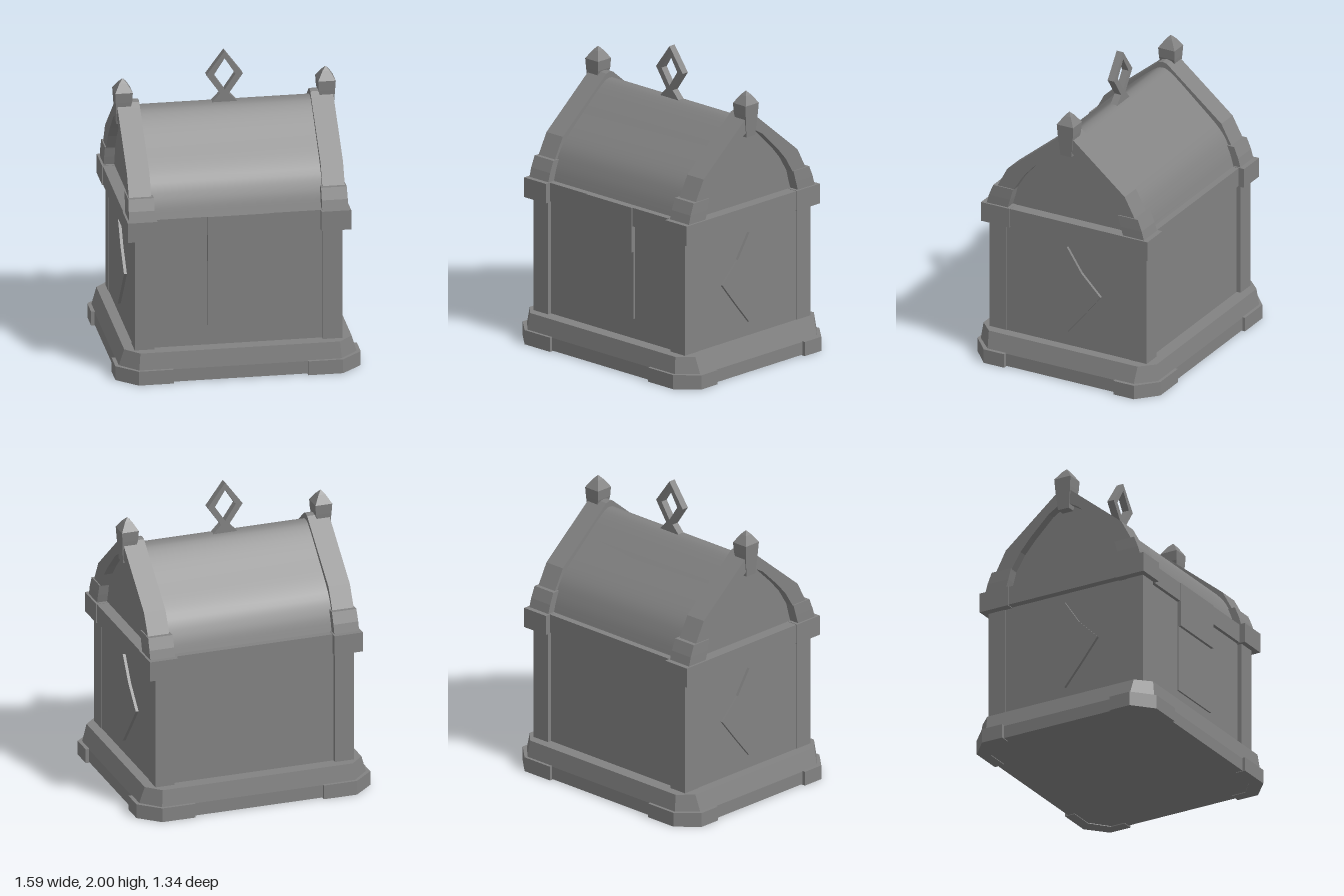
import * as THREE from 'three';
import { mergeVertices, toCreasedNormals } from 'three/addons/utils/BufferGeometryUtils.js';

const flat = new THREE.MeshStandardMaterial({ color: 0x828282, flatShading: true });
const smooth = new THREE.MeshStandardMaterial({ color: 0x828282 });
const toShape = (pts) => new THREE.Shape(pts.map(([a, b]) => new THREE.Vector2(a, b)));
const mirrored = (half) => [...half, ...half.filter(([a]) => a !== 0).map(([a, b]) => [-a, b]).reverse()];

// Extrude a shape by a depth centred on zero
const extrude = (shape, depth) =>
  new THREE.ExtrudeGeometry(shape, { depth, bevelEnabled: false }).translate(0, 0, -depth / 2);
// Same, with the shape drawn in (z, y) and the depth along x
const extrudeX = (shape, depth) => extrude(shape, depth).rotateY(Math.PI / 2);

// Stack of [y, loop of x/z corners] cross-sections, closed by caps
function loft(sections) {
  const n = sections[0][1].length, pos = [], idx = [];
  sections.forEach(([y, loop]) => loop.forEach(([x, z]) => pos.push(x, y, z)));
  for (let s = 0; s < sections.length - 1; s++)
    for (let i = 0; i < n; i++) {
      const a = s * n + i, b = s * n + (i + 1) % n;
      idx.push(a, a + n, b, b, a + n, b + n);
    }
  const top = (sections.length - 1) * n;
  for (let i = 1; i < n - 1; i++) idx.push(0, i, i + 1, top, top + i + 1, top + i);
  const g = new THREE.BufferGeometry();
  g.setAttribute('position', new THREE.Float32BufferAttribute(pos, 3));
  g.setIndex(idx);
  const out = g.toNonIndexed();
  out.computeVertexNormals();
  return out;
}

// Loops run so that side faces point outwards
const octagon = (x, z, c) => [
  [x - c, -z], [x, -z + c], [x, z - c], [x - c, z],
  [-x + c, z], [-x, z - c], [-x, -z + c], [-x + c, -z],
];
const rect = (x0, x1, z0, z1) => [[x0, z0], [x1, z0], [x1, z1], [x0, z1]];

export function createModel() {
  const model = new THREE.Group();
  const add = (name, geo, mat = flat) => {
    const m = new THREE.Mesh(geo, mat);
    m.name = name;
    model.add(m);
  };
  const box = (name, x0, x1, y0, y1, z0, z1) =>
    add(name, new THREE.BoxGeometry(Math.abs(x1 - x0), y1 - y0, Math.abs(z1 - z0))
      .translate((x0 + x1) / 2, (y0 + y1) / 2, (z0 + z1) / 2));

  // Stepped plinth with cut corners
  add('plinth', loft([
    [0.005, octagon(0.77, 0.65, 0.115)],
    [0.09, octagon(0.77, 0.65, 0.115)],
    [0.205, octagon(0.735, 0.635, 0.09)],
  ]));

  // Chest body, lid rim and front lock plates
  box('body', -0.668, 0.668, 0.2, 1.0, -0.547, 0.547);
  box('rim', -0.717, 0.717, 0.965, 1.09, -0.57, 0.57);
  box('lockPlate', -0.2, 0.2, 0.34, 0.79, 0.53, 0.558);
  box('lockHasp', -0.2, 0.2, 0.79, 1.09, 0.53, 0.576);

  // Curved lid
  const slope = [[0.49, 1.2], [0.42, 1.32], [0.25, 1.475], [0.08, 1.62]];
  const curve = new THREE.SplineCurve([
    [0.525, 1.09], ...slope, [0, 1.657], ...slope.map(([z, y]) => [-z, y]).reverse(), [-0.525, 1.09],
  ].map(([z, y]) => new THREE.Vector2(z, y)));
  const lid = extrudeX(new THREE.Shape(curve.getPoints(40)), 1.28);
  lid.deleteAttribute('uv');
  lid.deleteAttribute('normal');
  add('lid', toCreasedNormals(mergeVertices(lid).toNonIndexed(), 0.6), smooth);

  const archOuter = [[0.53, 1.08], [0.505, 1.22], [0.43, 1.36], [0.06, 1.665], [0.03, 1.69], [0, 1.697]];
  const archInner = [[0.43, 1.08], [0.386, 1.22], [0.32, 1.325], [0.245, 1.41], [0.11, 1.54], [0, 1.605]];
  const outline = [...mirrored(archOuter), ...mirrored(archInner).reverse()];
  const diamond = mirrored([[0, 0.3], [0.125, 0.45], [0.245, 0.6], [0.105, 0.74], [0, 0.9]]);

  for (const sx of [1, -1]) {
    const side = sx > 0 ? 'left' : 'right';

    // Pointed arch trim at the lid end and diamond plate below
    add(side + 'LidArch', extrudeX(toShape(outline), 0.145).translate(sx * 0.6255, 0, 0));
    add(side + 'DiamondPlate', extrudeX(toShape(diamond), 0.04).translate(sx * 0.667, 0, 0));

    // Pointed finial whose tail hooks over the arch
    const fin = (y, r, cx = 0.656, rz = r) =>
      [y, rect(sx * cx - r, sx * cx + r, -rz, rz)];
    add(side + 'Finial', loft([
      fin(1.55, 0.03, 0.67, 0.04), fin(1.7, 0.053, 0.656, 0.056), fin(1.765, 0.057, 0.656, 0.06),
      fin(1.82, 0.024), fin(1.845, 0.002),
    ]));

    for (const sz of [1, -1]) {
      const corner = side + (sz > 0 ? 'Front' : 'Back');

      // Corner post and rim bracket
      box(corner + 'Post', sx * 0.545, sx * 0.672, 0.2, 0.98, sz * 0.45, sz * 0.576);
      box(corner + 'RimBracket', sx * 0.53, sx * 0.722, 0.96, 1.092, sz * 0.4, sz * 0.61);

      // Wrap-around foot
      const foot = [[0.435, 0.67], [0.66, 0.67], [0.793, 0.55], [0.793, 0.4],
        [0.72, 0.4], [0.72, 0.5], [0.6, 0.6], [0.435, 0.6]];
      add(corner + 'Foot', extrude(toShape(foot.map(([x, z]) => [sx * x, -sz * z])), 0.095)
        .rotateX(-Math.PI / 2).translate(0, 0.0475, 0));

      // Tapered cap at the foot of the arch
      const cap = (x0, x1, z0, z1) => rect(
        Math.min(sx * x0, sx * x1), Math.max(sx * x0, sx * x1),
        Math.min(sz * z0, sz * z1), Math.max(sz * z0, sz * z1));
      add(corner + 'ArchCap', loft([
        [1.085, cap(0.54, 0.708, 0.425, 0.578)],
        [1.15, cap(0.54, 0.708, 0.405, 0.56)],
        [1.225, cap(0.54, 0.706, 0.385, 0.53)],
      ]));
    }
  }

  // Diamond ring on the ridge
  const ring = toShape(mirrored([[0, 1.64], [0.085, 1.65], [0.028, 1.71], [0.118, 1.84], [0, 2]]));
  ring.holes.push(new THREE.Path(mirrored([[0, 1.735], [0.07, 1.84], [0, 1.95]])
    .map(([x, y]) => new THREE.Vector2(x, y))));
  add('topRing', extrude(ring, 0.048));

  return model;
}
